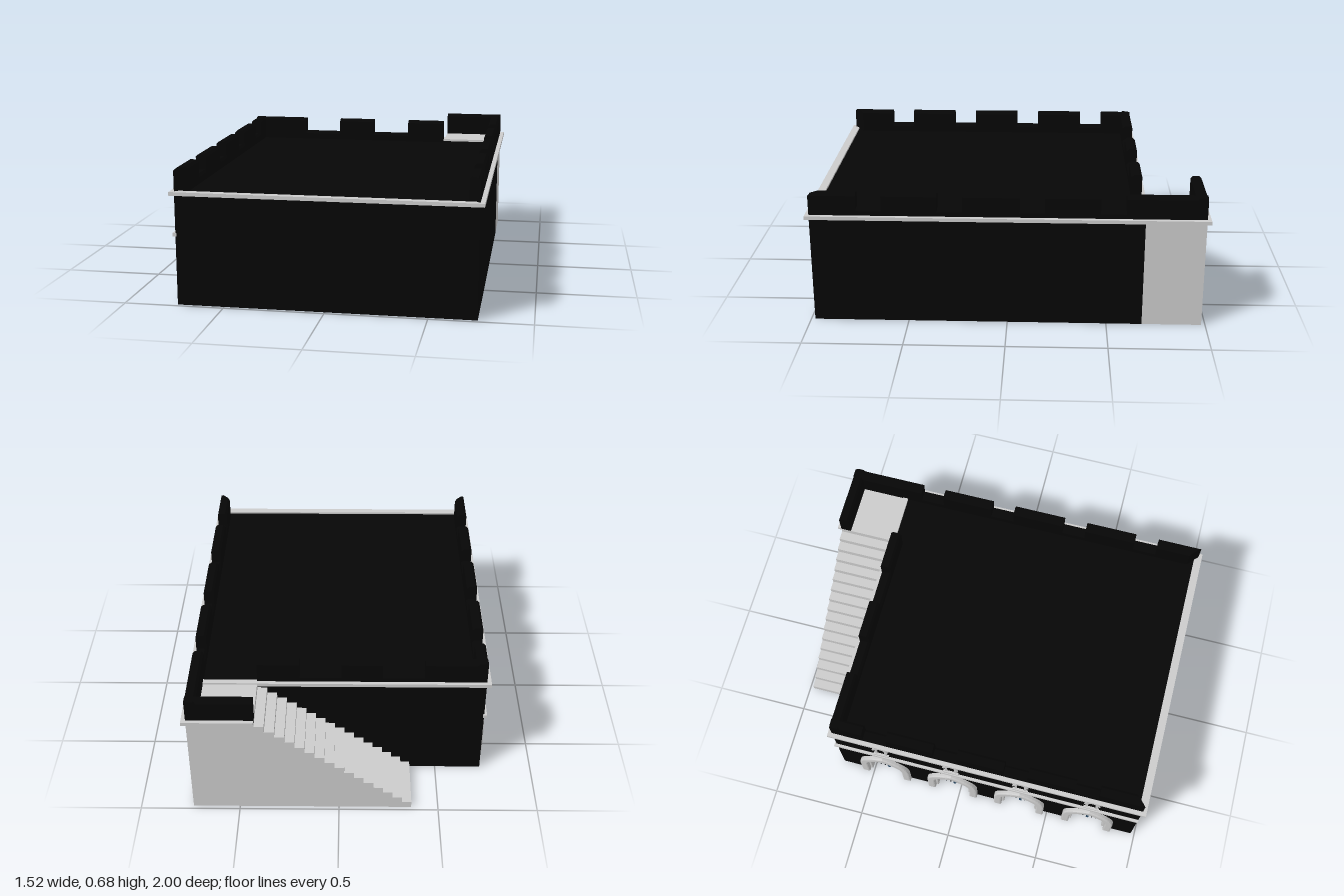
import * as THREE from 'three';

const grey = new THREE.MeshStandardMaterial({ color: 0xcccccc });
const dark = new THREE.MeshStandardMaterial({ color: 0x060606 });
const blue = new THREE.MeshStandardMaterial({ color: 0x2a4a66 });
const iron = new THREE.MeshStandardMaterial({ color: 0x2c3136 });

const X = 0.735, FRONT = 0.98, BACK = -0.68, REAR = -0.98, ROOF = 0.56;
const T = 0.055, LOW = 0.605, HIGH = 0.683; // parapet thickness and heights
const BAYS = [-0.425, -0.04, 0.34, 0.725];

export function createModel() {
  const model = new THREE.Group();

  const add = (name, geo, mat, parent = model) => {
    const mesh = new THREE.Mesh(geo, mat);
    mesh.name = name;
    parent.add(mesh);
    return mesh;
  };
  // Box given by its limits on each axis
  const box = (name, mat, x0, x1, y0, y1, z0, z1, parent) => {
    const geo = new THREE.BoxGeometry(x1 - x0, y1 - y0, z1 - z0);
    geo.translate((x0 + x1) / 2, (y0 + y1) / 2, (z0 + z1) / 2);
    return add(name, geo, mat, parent);
  };
  // Shape drawn in (z, y), extruded from xIn out to xOut towards -x
  const outward = (shape, xIn, xOut, bevel = 0) => {
    const geo = new THREE.ExtrudeGeometry(shape, {
      depth: xIn - xOut - bevel, curveSegments: 10, bevelEnabled: bevel > 0,
      bevelSize: bevel, bevelThickness: bevel, bevelOffset: -bevel, bevelSegments: 2,
    });
    return geo.rotateY(-Math.PI / 2).translate(xIn, 0, 0);
  };
  // Pointed arch from left foot to right foot, added to a path
  const arch = (path, c, w, y0, spring, top, reverse = false) => {
    const s = reverse ? -1 : 1, bend = spring + (top - spring) * 0.62;
    path.lineTo(c - s * w, y0);
    path.lineTo(c - s * w, spring);
    path.quadraticCurveTo(c - s * w, bend, c, top);
    path.quadraticCurveTo(c + s * w, bend, c + s * w, spring);
    path.lineTo(c + s * w, y0);
    return path;
  };
  // Arched band, open at the foot
  const archBand = (c, w, t, y0, spring, top) => {
    const s = new THREE.Shape();
    s.moveTo(c - w, y0);
    arch(s, c, w, y0, spring, top);
    arch(s, c, w - t, y0, spring, top - t * 1.2, true);
    s.closePath();
    return s;
  };

  // Hall body, with a deep arcaded wall on the -x side
  const inner = -0.555;
  box('hallBody', dark, inner, X, 0, ROOF, BACK, FRONT);
  const wall = new THREE.Shape();
  wall.moveTo(BACK, 0);
  BAYS.forEach((c) => arch(wall, c, 0.115, 0, 0.15, 0.295));
  wall.lineTo(FRONT, 0);
  wall.lineTo(FRONT, ROOF);
  wall.lineTo(BACK, ROOF);
  wall.closePath();
  add('arcadeWall', outward(wall, inner, -X), dark);

  // Doorways and the small windows above them
  BAYS.forEach((c) => {
    const door = new THREE.Group();
    door.name = 'doorway';
    model.add(door);
    add('doorSurround', outward(archBand(c, 0.14, 0.042, 0, 0.15, 0.32), -0.7, -0.758, 0.008), grey, door);
    add('doorInnerMoulding', outward(archBand(c, 0.116, 0.03, 0, 0.15, 0.296), -0.68, -0.735, 0.005), grey, door);
    // Grille of thin bars with blue rails and panels
    for (let i = -3; i <= 3; i++) {
      const z = c + i * 0.025, top = 0.25 - Math.abs(i) * 0.022;
      box('grilleBar', iron, -0.702, -0.696, 0, top, z - 0.003, z + 0.003, door);
    }
    for (let i = 1; i <= 6; i++) {
      box('grilleRail', iron, -0.701, -0.697, i * 0.027 - 0.003, i * 0.027 + 0.003, c - 0.095, c + 0.095, door);
    }
    box('doorTransom', blue, -0.71, -0.69, 0.115, 0.15, c - 0.1, c + 0.1, door);
    box('doorMullion', blue, -0.707, -0.693, 0, 0.25, c - 0.007, c + 0.007, door);

    const win = new THREE.Group();
    win.name = 'smallWindow';
    model.add(win);
    add('windowFrame', outward(archBand(c, 0.032, 0.012, 0.395, 0.465, 0.51), -0.73, -0.742), grey, win);
    add('windowHood', outward(archBand(c, 0.043, 0.011, 0.47, 0.478, 0.523), -0.73, -0.748), grey, win);
    box('windowSill', grey, -0.748, -0.73, 0.385, 0.398, c - 0.042, c + 0.042, win);
  });
  box('stringCourse', grey, -0.749, -0.73, 0.346, 0.364, BACK - 0.01, FRONT + 0.002);

  // Cornice around the hall and the stair landing
  const E = 0.757, c0 = 0.552, c1 = 0.57;
  box('frontCornice', grey, -E, E, c0, c1, 0.96, 1);
  box('leftCornice', grey, X - 0.02, E, c0, c1, -1, 0.96);
  box('rightCornice', grey, -E, -X + 0.02, c0, c1, -0.70, 0.96);
  box('backCornice', grey, -E, 0.68, c0, c1, -0.70, -0.67);
  box('landingCornice', grey, 0.41, E, c0, c1, -1, -0.96);

  // Parapet run with chamfered top; 'mitre' cuts the front end at 45 degrees
  const run = (name, top, x, z0, z1, mitre) => {
    const h = T / 2, k = 0.012, s = new THREE.Shape();
    s.moveTo(-h, ROOF - 0.01);
    s.lineTo(h, ROOF - 0.01);
    s.lineTo(h, top - k);
    s.lineTo(h - k, top);
    s.lineTo(k - h, top);
    s.lineTo(-h, top - k);
    s.closePath();
    const geo = new THREE.ExtrudeGeometry(s, { depth: z1 - z0, bevelEnabled: false });
    geo.translate(x, 0, z0);
    const p = geo.attributes.position;
    if (mitre) {
      for (let i = 0; i < p.count; i++) {
        if (p.getZ(i) > z1 - 1e-4) p.setZ(i, z1 - (X - Math.abs(p.getX(i))));
      }
      geo.computeVertexNormals();
    }
    return add(name, geo, dark);
  };
  // Merlons between a row of gaps, over a continuous low wall
  const side = (name, x, zBack, gapStarts, gap) => {
    run(name + 'ParapetWall', LOW, x, zBack, FRONT, true);
    let z1 = FRONT;
    [...gapStarts, null].forEach((g) => {
      run(name + 'Merlon', HIGH, x, g === null ? zBack : g, z1, z1 === FRONT);
      z1 = g - gap;
    });
  };
  side('left', X - T / 2, REAR, [0.745, 0.345, -0.06, -0.46], 0.125);
  side('right', -X + T / 2, BACK, [0.745, 0.37, -0.005, -0.382], 0.126);

  // Back runs lie along x: turn a z run a quarter turn
  const backRun = (name, top, x0, x1, z) => {
    const mesh = run(name, top, 0, x0, x1, false);
    mesh.geometry.rotateY(Math.PI / 2).translate(0, 0, z);
  };
  const zb = BACK + T / 2;
  backRun('backParapetWall', LOW, -X, 0.41, zb);
  [[-X, -0.425], [-0.215, -0.01], [0.2, 0.41]].forEach(([a, b]) => backRun('backMerlon', HIGH, a, b, zb));
  backRun('landingParapet', HIGH, 0.41, X, REAR + T / 2);

  // Solid staircase rising to the landing
  const steps = 16, x0 = -0.365, x1 = 0.41, top = ROOF + 0.004;
  const stair = new THREE.Shape();
  stair.moveTo(X, 0);
  stair.lineTo(X, top);
  stair.lineTo(x1, top);
  for (let i = steps; i > 0; i--) {
    const y = (top * i) / (steps + 1);
    stair.lineTo(x0 + ((x1 - x0) * i) / steps, y);
    stair.lineTo(x0 + ((x1 - x0) * (i - 1)) / steps, y);
  }
  stair.lineTo(x0, 0);
  stair.closePath();
  const stairGeo = new THREE.ExtrudeGeometry(stair, { depth: BACK - REAR, bevelEnabled: false });
  add('staircase', stairGeo.translate(0, 0, REAR), grey);
  box('landingThreshold', grey, 0.41, 0.68, ROOF - 0.01, c1 + 0.002, -0.70, -0.67);

  return model;
}
